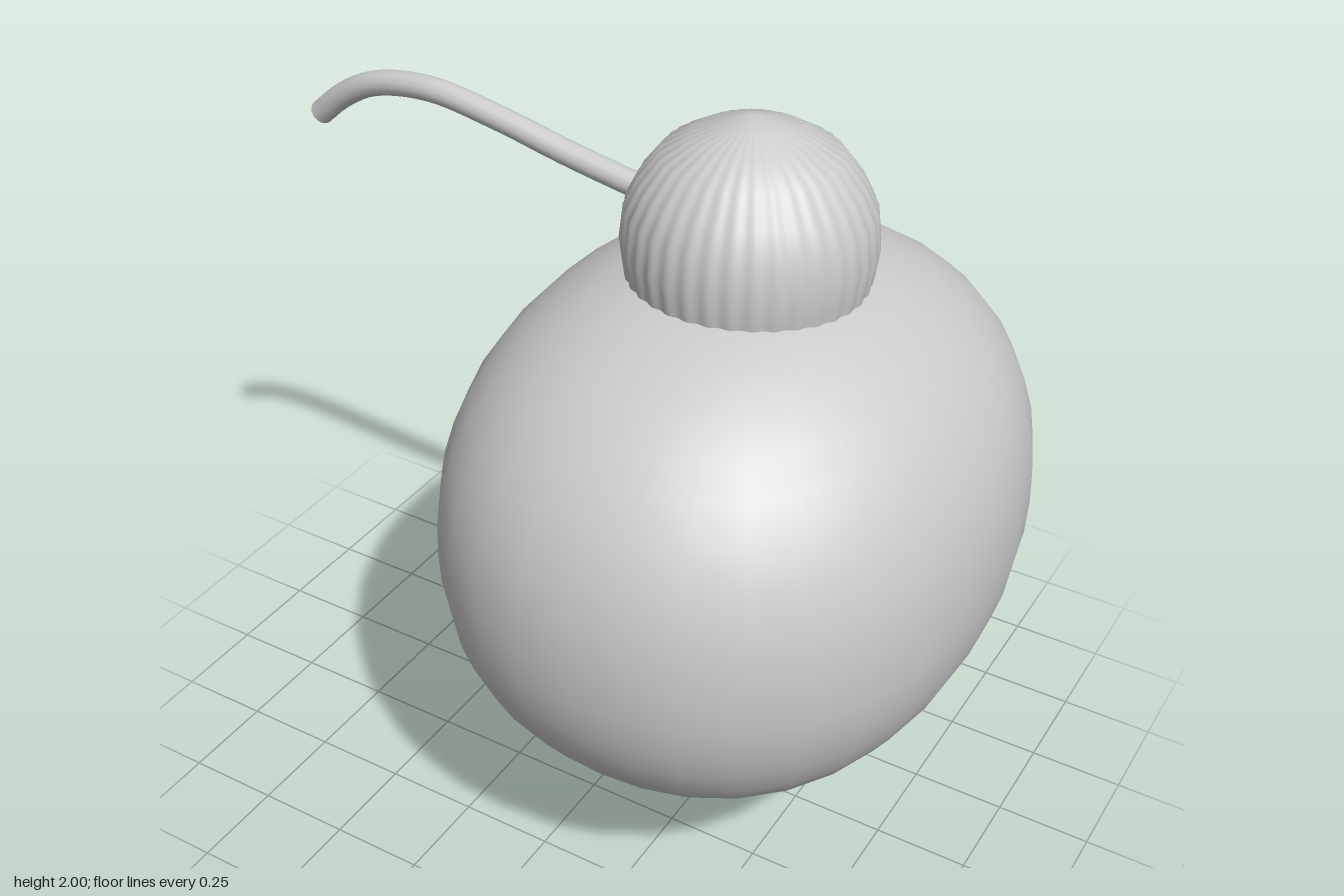
import * as THREE from 'three';
import { mergeVertices } from 'three/addons/utils/BufferGeometryUtils.js';

const material = new THREE.MeshStandardMaterial({ color: 0xcccccc, side: THREE.DoubleSide });
const RIBS = 36;

function addMesh(group, name, geometry) {
  const mesh = new THREE.Mesh(geometry, material);
  mesh.name = name;
  group.add(mesh);
  return mesh;
}

// Welds seams and shades the surface smoothly
function smooth(geo) {
  geo.deleteAttribute('uv');
  geo.deleteAttribute('normal');
  const merged = mergeVertices(geo, 1e-5);
  merged.computeVertexNormals();
  return merged;
}

// Lathe whose radius ripples around the axis
function ribbedLathe(profile, depth) {
  const points = profile.map(([r, y]) => new THREE.Vector2(r, y));
  const geo = new THREE.LatheGeometry(points, RIBS * 6);
  const p = geo.attributes.position;
  for (let i = 0; i < p.count; i++) {
    const x = p.getX(i), z = p.getZ(i);
    const k = 1 + depth * (Math.cos(Math.atan2(x, z) * RIBS) - 1) * 0.5;
    p.setX(i, x * k);
    p.setZ(i, z * k);
  }
  return smooth(geo);
}

// Ellipsoid swollen slightly towards a box: |x/rx|^n + |y/ry|^n + |z/rz|^n = 1
function swollenEllipsoid(rx, ry, rz, n) {
  const geo = new THREE.SphereGeometry(1, 32, 24);
  const p = geo.attributes.position;
  const v = new THREE.Vector3();
  for (let i = 0; i < p.count; i++) {
    v.fromBufferAttribute(p, i);
    const sum = Math.abs(v.x) ** n + Math.abs(v.y) ** n + Math.abs(v.z) ** n;
    v.multiplyScalar(sum ** (-1 / n));
    p.setXYZ(i, v.x * rx, v.y * ry, v.z * rz);
  }
  return smooth(geo);
}

export function createModel() {
  const model = new THREE.Group();
  model.name = 'lantern';
  const axis = new THREE.Group();
  axis.name = 'lanternBody';
  axis.position.x = 0.295;
  model.add(axis);

  // Main rounded body, longer front to back
  const body = addMesh(axis, 'body', swollenEllipsoid(0.686, 0.673, 0.828, 2.22));
  body.position.y = 0.97;

  // Ribbed domed cap sinking into the top of the body
  addMesh(axis, 'cap', ribbedLathe([
    [0.285, 1.56], [0.295, 1.62], [0.304, 1.69], [0.294, 1.775], [0.262, 1.84],
    [0.212, 1.905], [0.14, 1.948], [0.07, 1.975], [0, 2.0],
  ], 0.016));

  // Ribbed base tapering to a blunt point
  addMesh(axis, 'base', ribbedLathe([
    [0, 0], [0.1, 0.052], [0.165, 0.088], [0.195, 0.115], [0.222, 0.18],
    [0.24, 0.255], [0.225, 0.33], [0.2, 0.39],
  ], 0.022));

  // Curved stem reaching out sideways from the cap
  const path = new THREE.CatmullRomCurve3([
    [0.06, 1.73, 0], [-0.2, 1.78, 0.003], [-0.4, 1.827, 0.007], [-0.6, 1.856, 0.008],
    [-0.77, 1.831, 0.005], [-0.88, 1.773, 0], [-0.965, 1.702, -0.005],
  ].map((v) => new THREE.Vector3(...v)));
  const radius = 0.032;
  addMesh(model, 'stem', new THREE.TubeGeometry(path, 32, radius, 16));
  const tip = addMesh(model, 'stemTip', new THREE.CircleGeometry(radius, 16));
  tip.position.copy(path.getPoint(1));
  tip.lookAt(path.getPoint(1).add(path.getTangent(1)));

  return model;
}
